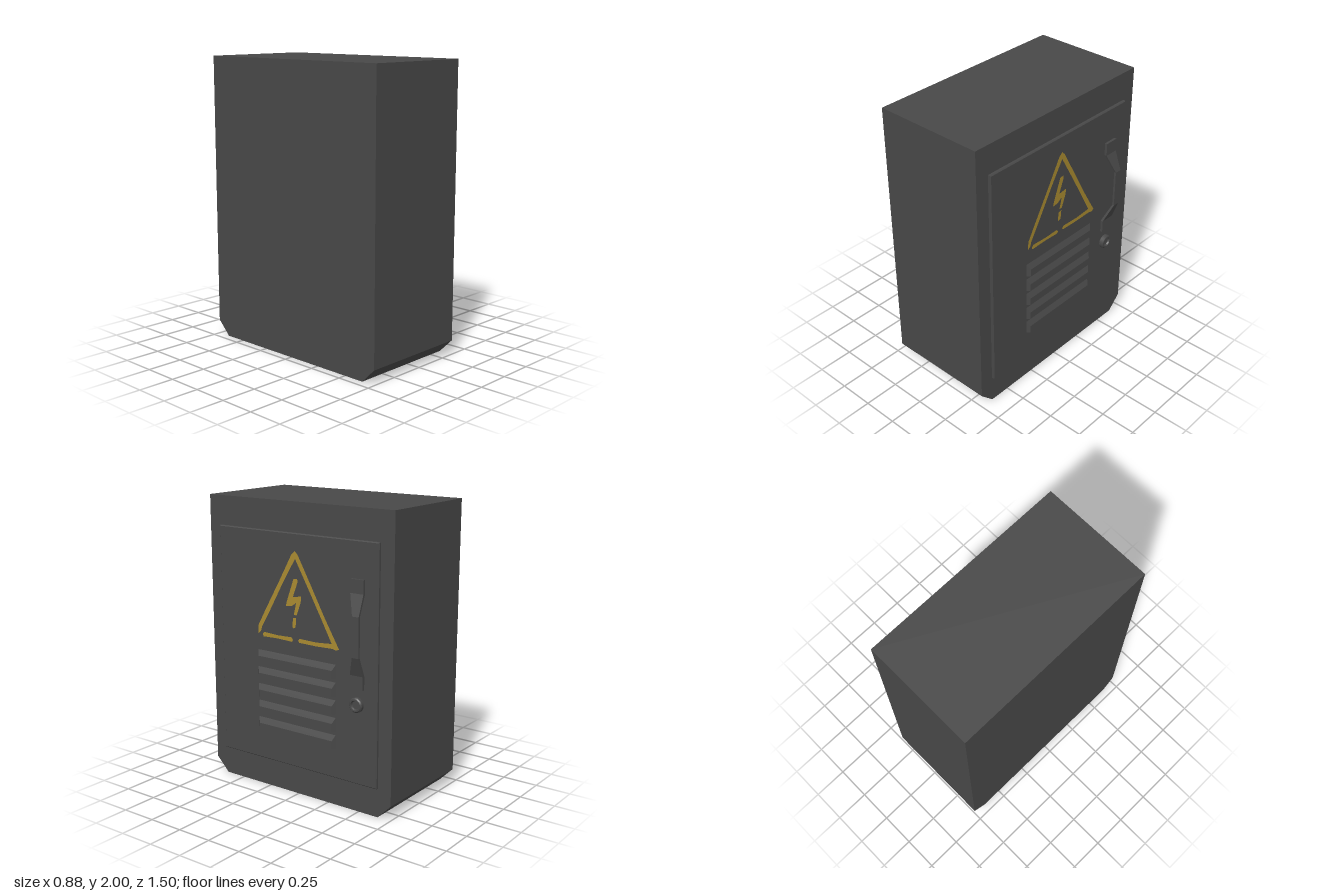
import * as THREE from 'three';
import { toCreasedNormals } from 'three/addons/utils/BufferGeometryUtils.js';
import { ConvexGeometry } from 'three/addons/geometries/ConvexGeometry.js';

// Parts are drawn on the door plane (u right, y up, depth outward),
// then turned so that the door faces +x (u becomes -z).
const BACK = -0.445, FACE = 0.352, DOOR = 0.372;

export function createModel() {
  const model = new THREE.Group();
  const metal = new THREE.MeshStandardMaterial({ color: 0x484848 });
  metal.name = 'darkGreyMetal';
  const yellow = new THREE.MeshStandardMaterial({ color: 0xa88a30 });
  yellow.name = 'warningYellow';

  const add = (name, geometry, material, depth, parent = model) => {
    geometry.rotateY(Math.PI / 2);
    const mesh = new THREE.Mesh(geometry, material);
    mesh.name = name;
    mesh.position.x = depth;
    parent.add(mesh);
    return mesh;
  };
  const outline = (pts) => new THREE.Shape(pts.map(([u, y]) => new THREE.Vector2(u, y)));
  const group = (name) => {
    const g = new THREE.Group();
    g.name = name;
    model.add(g);
    return g;
  };

  // Cabinet with chamfered lower edges
  const body = outline([[-0.65, 0], [0.65, 0], [0.75, 0.1], [0.75, 2], [-0.75, 2], [-0.75, 0.1]]);
  add('cabinet', new THREE.ExtrudeGeometry(body, { depth: FACE - BACK, bevelEnabled: false }), metal, BACK);

  // Raised door with a narrow bevel
  const b = 0.006;
  const panel = outline([[-0.65 + b, 0.2 + b], [0.65 - b, 0.2 + b], [0.65 - b, 1.8 - b], [-0.65 + b, 1.8 - b]]);
  add('door', new THREE.ExtrudeGeometry(panel, {
    depth: DOOR - FACE - b, bevelSize: b, bevelThickness: b, bevelSegments: 1,
  }), metal, FACE);

  // Louvres: sloped top and ends, flat underside
  const louvres = group('louvres');
  for (let i = 0; i < 5; i++) {
    const low = 0.405 + i * 0.12, high = low + 0.095;
    const pts = [];
    for (const s of [-1, 1]) {
      pts.push(
        new THREE.Vector3(s * 0.327, low, 0), new THREE.Vector3(s * 0.327, high, 0),
        new THREE.Vector3(s * 0.308, low, 0.02), new THREE.Vector3(s * 0.308, high - 0.04, 0.02));
    }
    add('louvre', new ConvexGeometry(pts), metal, DOOR, louvres);
  }

  // Bent strap handle: [y, inner depth, outer depth, left edge]
  const sections = [
    [0.85, 0, 0.018, 0.45], [0.94, 0, 0.018, 0.45], [1.07, 0.053, 0.068, 0.5],
    [1.335, 0.053, 0.068, 0.5], [1.47, 0, 0.018, 0.45], [1.56, 0, 0.018, 0.45],
  ];
  const pos = [], index = [];
  for (const [y, d0, d1, u] of sections) pos.push(u, y, d0, u, y, d1, 0.55, y, d1, 0.55, y, d0);
  for (let i = 0; i < sections.length - 1; i++) {
    for (let k = 0; k < 4; k++) {
      const a = i * 4 + k, c = i * 4 + (k + 1) % 4;
      index.push(a, c, c + 4, a, c + 4, a + 4);
    }
  }
  const e = (sections.length - 1) * 4;
  index.push(0, 2, 1, 0, 3, 2, e, e + 1, e + 2, e, e + 2, e + 3);
  const strap = new THREE.BufferGeometry();
  strap.setAttribute('position', new THREE.Float32BufferAttribute(pos, 3));
  strap.setIndex(index);
  const flatStrap = strap.toNonIndexed();
  flatStrap.computeVertexNormals();
  add('handle', flatStrap, metal, DOOR);

  // Round lock with a recessed centre
  const profile = [[0.05, 0], [0.05, 0.02], [0.042, 0.028], [0.033, 0.028], [0.027, 0.016], [0, 0.016]]
    .map(([r, h]) => new THREE.Vector2(r, h));
  const lock = new THREE.LatheGeometry(profile, 24);
  lock.rotateX(Math.PI / 2);
  lock.translate(0.497, 0.745, 0);
  add('lock', toCreasedNormals(lock, 0.5), metal, DOOR);

  // Painted warning sign: worn triangle strokes and a bolt
  const sign = group('warningSign');
  const strokes = {
    triangleSides: [
      [-0.318, 1.095], [-0.316, 1.155], [-0.25, 1.272], [-0.13, 1.478], [-0.028, 1.66], [0, 1.685],
      [0.024, 1.662], [0.13, 1.475], [0.24, 1.277], [0.355, 1.085], [0.33, 1.075], [0.3, 1.082],
      [0.17, 1.078], [0.03, 1.08], [0.022, 1.094], [0.035, 1.108], [0.17, 1.104], [0.296, 1.114],
      [0.215, 1.262], [0.1, 1.465], [0.002, 1.634], [-0.1, 1.468], [-0.215, 1.265],
      [-0.287, 1.145], [-0.296, 1.112],
    ],
    triangleBase: [
      [-0.275, 1.078], [-0.15, 1.082], [-0.03, 1.077], [-0.02, 1.092], [-0.035, 1.108],
      [-0.15, 1.104], [-0.265, 1.11], [-0.282, 1.095],
    ],
    boltUpper: [
      [-0.012, 1.502], [0.018, 1.505], [0.022, 1.485], [-0.018, 1.382], [0.05, 1.392],
      [0.046, 1.352], [0.012, 1.262], [-0.012, 1.262], [0.008, 1.345], [-0.03, 1.318], [-0.078, 1.312],
      [-0.07, 1.345],
    ],
    boltTip: [[-0.018, 1.24], [0.008, 1.245], [0.002, 1.18], [-0.018, 1.17], [-0.026, 1.185]],
  };
  for (const [name, pts] of Object.entries(strokes)) {
    add(name, new THREE.ShapeGeometry(outline(pts)), yellow, DOOR + 0.003, sign);
  }

  return model;
}
